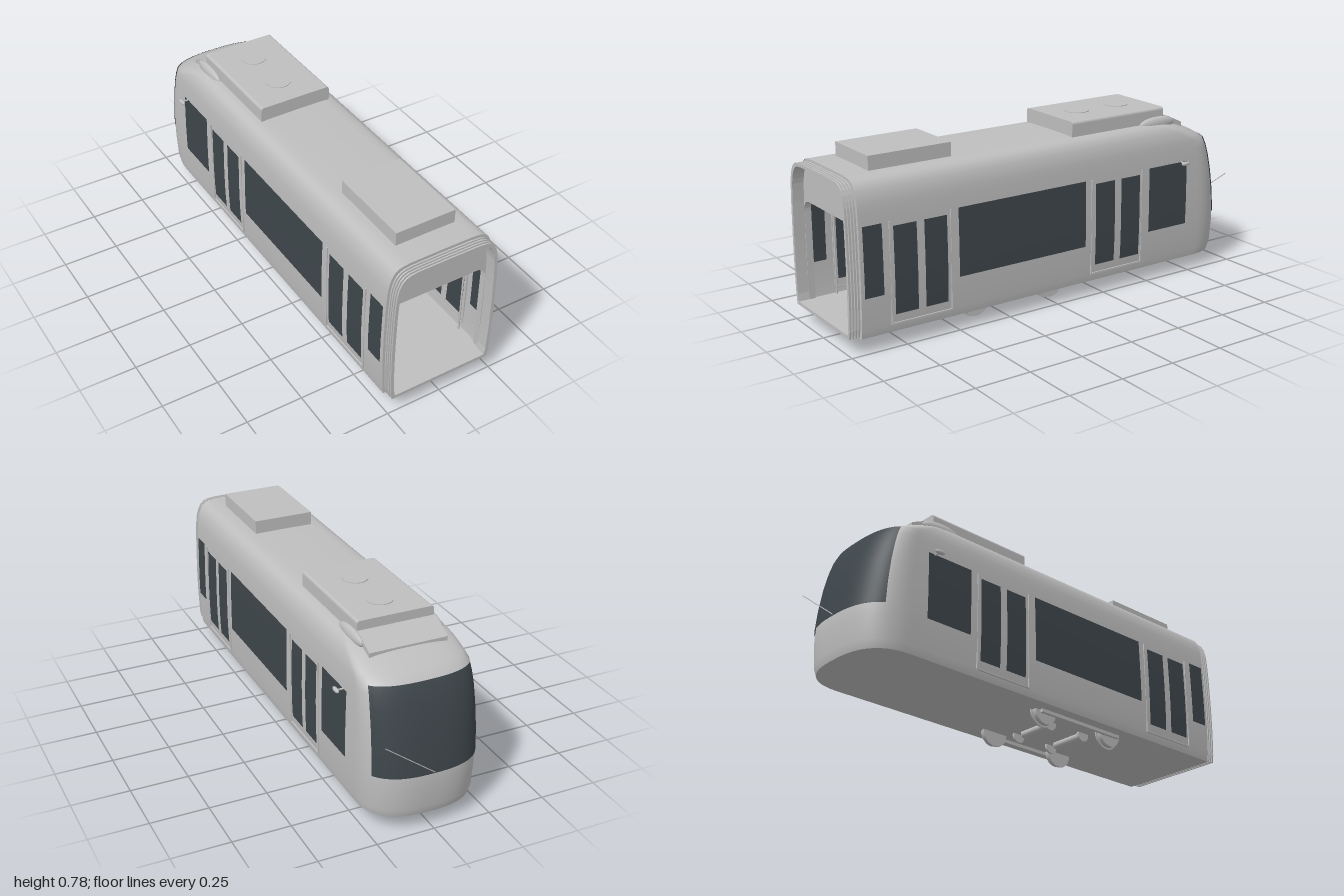
import * as THREE from 'three';

// Body levels: [y, half width, nose z, nose corner length]
const LEVELS = [
  [0.065, 0.24, -0.972, 0.2], [0.1, 0.246, -0.982, 0.2], [0.2, 0.25, -0.987, 0.2],
  [0.26, 0.251, -0.983, 0.195], [0.35, 0.251, -0.971, 0.18], [0.45, 0.249, -0.952, 0.165],
  [0.53, 0.247, -0.93, 0.15], [0.58, 0.244, -0.912, 0.14], [0.615, 0.241, -0.893, 0.13],
  [0.64, 0.236, -0.85, 0.13], [0.665, 0.228, -0.795, 0.12], [0.685, 0.217, -0.745, 0.12],
  [0.7, 0.201, -0.7, 0.12], [0.708, 0.18, -0.66, 0.1], [0.712, 0.14, -0.64, 0.1], [0.713, 0, -0.63, 0.1],
];
const REAR = 0.95;
const GLASS_ANGLE = 0.515;

const glass = new THREE.MeshStandardMaterial({ name: 'dark glass', color: 0x3e464b, side: THREE.DoubleSide });
const grey = new THREE.MeshStandardMaterial({ name: 'body grey', color: 0xbebebe, side: THREE.DoubleSide });
const screenDark = new THREE.MeshStandardMaterial({ name: 'screen dark', color: 0x3c404c, side: THREE.DoubleSide });

function levelAt(y) {
  let i = 1;
  while (i < LEVELS.length - 1 && LEVELS[i][0] < y) i++;
  const a = LEVELS[i - 1], b = LEVELS[i];
  const t = (y - a[0]) / (b[0] - a[0]);
  return a.map((v, k) => v + (b[k] - v) * t);
}

// Levels between two heights, keeping the body's own rows
function levelsBetween(y0, y1) {
  const ys = LEVELS.map((l) => l[0]).filter((y) => y > y0 + 0.002 && y < y1 - 0.002);
  return [y0, ...ys, y1].map(levelAt);
}

// Point on the rounded nose; angle 0 is the left side, PI/2 the tip, PI the right side
function nosePoint([y, hw, zf, len], angle, off = 0) {
  const c = Math.cos(angle), s = Math.max(0, Math.sin(angle)), p = 2 / 2.6;
  return new THREE.Vector3(
    Math.sign(c) * Math.pow(Math.abs(c), p) * (hw + off), y, zf + len - (len + off) * Math.pow(s, p));
}

// Smooth surface through rows of points
function grid(rows) {
  const n = rows[0].length, index = [];
  for (let r = 0; r < rows.length - 1; r++) {
    for (let i = 0; i < n - 1; i++) {
      const a = r * n + i, b = a + n;
      index.push(a, a + 1, b + 1, a, b + 1, b);
    }
  }
  const g = new THREE.BufferGeometry().setFromPoints(rows.flat());
  g.setIndex(index);
  g.computeVertexNormals();
  return g;
}

function ring(level) {
  const [y, hw] = level, pts = [new THREE.Vector3(hw, y, REAR)];
  for (let i = 0; i <= 40; i++) pts.push(nosePoint(level, (i / 40) * Math.PI));
  pts.push(new THREE.Vector3(-hw, y, REAR));
  return pts;
}

// Closed cross-section of the body, pulled inwards
function sectionPoints(inset) {
  const right = LEVELS.map(([y, hw]) => new THREE.Vector2(
    hw * (1 - inset / 0.25), 0.388 + (y - 0.388) * (1 - inset / 0.323)));
  const left = right.slice(0, -1).reverse().map((p) => new THREE.Vector2(-p.x, p.y));
  return [...right, ...left];
}

function frame(outer, hole, depth) {
  const s = new THREE.Shape(outer);
  s.holes.push(hole);
  return new THREE.ExtrudeGeometry(s, { depth, bevelEnabled: false, curveSegments: 8 });
}

function roundedRect(w, h, r) {
  const s = new THREE.Shape();
  s.moveTo(-w, 0).lineTo(w, 0).lineTo(w, h - r);
  s.quadraticCurveTo(w, h, w - r, h);
  s.lineTo(-w + r, h).quadraticCurveTo(-w, h, -w, h - r);
  s.closePath();
  return s;
}

export function createModel() {
  const model = new THREE.Group();
  const add = (name, geo, mat, x = 0, y = 0, z = 0) => {
    const m = new THREE.Mesh(geo, mat);
    m.name = name;
    m.position.set(x, y, z);
    model.add(m);
    return m;
  };
  // Box given by its extents
  const box = (name, x0, x1, y0, y1, z0, z1, mat = grey) => add(name,
    new THREE.BoxGeometry(Math.abs(x1 - x0), y1 - y0, Math.abs(z1 - z0)), mat,
    (x0 + x1) / 2, (y0 + y1) / 2, (z0 + z1) / 2);
  const rod = (name, a, b, r) => {
    const va = new THREE.Vector3(...a), vb = new THREE.Vector3(...b);
    return add(name, new THREE.TubeGeometry(new THREE.LineCurve3(va, vb), 1, r, 8), grey);
  };

  // Shell and underside
  add('bodyShell', grid(LEVELS.map(ring)), grey);
  const bottom = ring(LEVELS[0]);
  add('underside', grid([bottom.map((p) => new THREE.Vector3(0, p.y, p.z)), bottom]), grey);

  // Windscreen wrapping the nose
  add('windscreen', grid(levelsBetween(0.25, 0.613).map((l) => {
    const pts = [];
    for (let i = 0; i <= 28; i++) {
      pts.push(nosePoint(l, GLASS_ANGLE + (i / 28) * (Math.PI - 2 * GLASS_ANGLE), 0.004));
    }
    return pts;
  })), glass);
  rod('wiper', [0, 0.255, -0.99], [0.22, 0.42, -0.992], 0.002);

  // Side windows and door panes, [z0, z1, y0, y1], seen from outside and inside
  const panes = [
    [0.935, 0.85, 0.235, 0.53], [0.8, 0.695, 0.14, 0.51], [0.66, 0.555, 0.14, 0.51],
    [0.5, -0.145, 0.235, 0.53], [-0.2, -0.305, 0.14, 0.51], [-0.34, -0.445, 0.14, 0.51],
    [-0.5, -0.72, 0.235, 0.53],
  ];
  for (const side of [1, -1]) {
    for (const [z0, z1, y0, y1] of panes) {
      for (const off of [0.003, -0.003]) {
        add('sideWindow', grid(levelsBetween(y0, y1).map(([y, hw]) =>
          [z0, z1].map((z) => new THREE.Vector3(side * (hw + off), y, z)))), glass);
      }
    }
    // Door sills and posts
    for (const z of [0.675, -0.32]) {
      box('doorSill', side * 0.243, side * 0.252, 0.098, 0.105, z - 0.14, z + 0.14);
      for (const dz of [-0.14, 0.14]) {
        box('doorPost', side * 0.244, side * 0.253, 0.1, 0.53, z + dz - 0.003, z + dz + 0.003);
      }
    }
    // Mirrors
    rod('mirrorArm', [side * 0.24, 0.528, -0.69], [side * 0.28, 0.528, -0.69], 0.004);
    add('mirror', new THREE.SphereGeometry(1, 16, 10), grey, side * 0.28, 0.529, -0.688).scale.set(0.009, 0.01, 0.024);
    // Roof fairings
    add('roofFairing', new THREE.SphereGeometry(1, 20, 12), grey, side * 0.172, 0.705, -0.6).scale.set(0.02, 0.032, 0.1);
  }

  // Roof units, fans and hood
  const unit = new THREE.ExtrudeGeometry(roundedRect(0.168, 0.07, 0.014), { depth: 0.51, bevelEnabled: false });
  add('frontRoofUnit', unit, grey, 0, 0.706, -0.64);
  box('rearRoofUnit', -0.137, 0.137, 0.706, 0.772, 0.46, 0.84);
  for (const z of [-0.5, -0.28]) {
    add('roofFan', new THREE.CylinderGeometry(0.055, 0.055, 0.004, 32), grey, 0, 0.777, z);
  }
  const hood = new THREE.Shape([[0.63, 0.69], [0.63, 0.738], [0.67, 0.73], [0.75, 0.692], [0.75, 0.67]]
    .map((p) => new THREE.Vector2(...p)));
  const hoodGeo = new THREE.ExtrudeGeometry(hood, { depth: 0.34, bevelEnabled: false });
  hoodGeo.rotateY(Math.PI / 2).translate(-0.17, 0, 0);
  add('roofHood', hoodGeo, grey);

  // End bulkhead with doorway
  const doorway = new THREE.Path(roundedRect(0.226, 0.44, 0.05).getPoints(8).map((p) => new THREE.Vector2(p.x, p.y + 0.083)));
  add('endBulkhead', frame(sectionPoints(0.001), doorway, 0.03), grey, 0, 0, 0.919);

  // Bellows: sleeve and ribs
  const inner = new THREE.Path(sectionPoints(0.022));
  add('bellowsSleeve', frame(sectionPoints(0.016), inner, 0.048), grey, 0, 0, 0.949);
  for (let i = 0; i < 4; i++) {
    add('bellowsRib', frame(sectionPoints(0.008), inner, 0.007), grey, 0, 0, 0.954 + i * 0.013);
  }

  // Interior: floor, cab wall, display panels
  box('floor', -0.237, 0.237, 0.07, 0.082, -0.7, 0.949);
  add('cabWall', new THREE.ShapeGeometry(new THREE.Shape(sectionPoints(0.004))), grey, 0, 0, -0.475);
  box('signFrame', -0.066, 0.066, 0.459, 0.508, -0.475, -0.468);
  box('signPanel', -0.06, 0.06, 0.464, 0.504, -0.468, -0.464, screenDark);
  box('displayPanel', -0.172, -0.065, 0.354, 0.428, -0.455, -0.447, screenDark);
  rod('displayStem', [-0.14, 0.33, -0.452], [-0.14, 0.36, -0.452], 0.003);

  // Seats, poles and wheel housings
  for (const side of [1, -1]) {
    box('seatPlatform', side * 0.04, side * 0.232, 0.08, 0.125, -0.1, 0.45);
    for (const z of [0.3, 0.06]) {
      for (const [x0, x1] of [[0.046, 0.135], [0.139, 0.228]]) {
        box('seatBack', side * x0, side * x1, 0.2, 0.353, z, z + 0.02);
        box('seatCushion', side * x0, side * x1, 0.125, 0.205, z - 0.09, z + 0.02);
      }
    }
    for (const z of [0.53, -0.17]) rod('grabPole', [side * 0.18, 0.08, z], [side * 0.18, 0.51, z], 0.004);
    rod('doorRail', [side * 0.225, 0.08, 0.82], [side * 0.225, 0.515, 0.82], 0.004);
  }
  for (const z of [0.67, -0.32]) rod('centrePole', [0, 0.08, z], [0, 0.52, z], 0.004);

  // Running gear
  const across = (name, r, w, x, y, z) => {
    add(name, new THREE.CylinderGeometry(r, r, w, 28), grey, x, y, z).rotation.z = Math.PI / 2;
  };
  for (const z of [0.37, -0.015]) {
    for (const side of [1, -1]) {
      across('wheelTread', 0.058, 0.026, side * 0.162, 0.066, z);
      across('wheelFlange', 0.066, 0.007, side * 0.151, 0.066, z);
    }
  }
  for (const z of [0.275, 0.08]) {
    for (const side of [1, -1]) across('brakeDisc', 0.03, 0.01, side * 0.1, 0.057, z);
    across('motor', 0.018, 0.155, -0.012, 0.056, z);
  }
  for (const side of [1, -1]) box('bogieBeam', side * 0.178, side * 0.192, 0.05, 0.068, -0.05, 0.41);

  return model;
}
